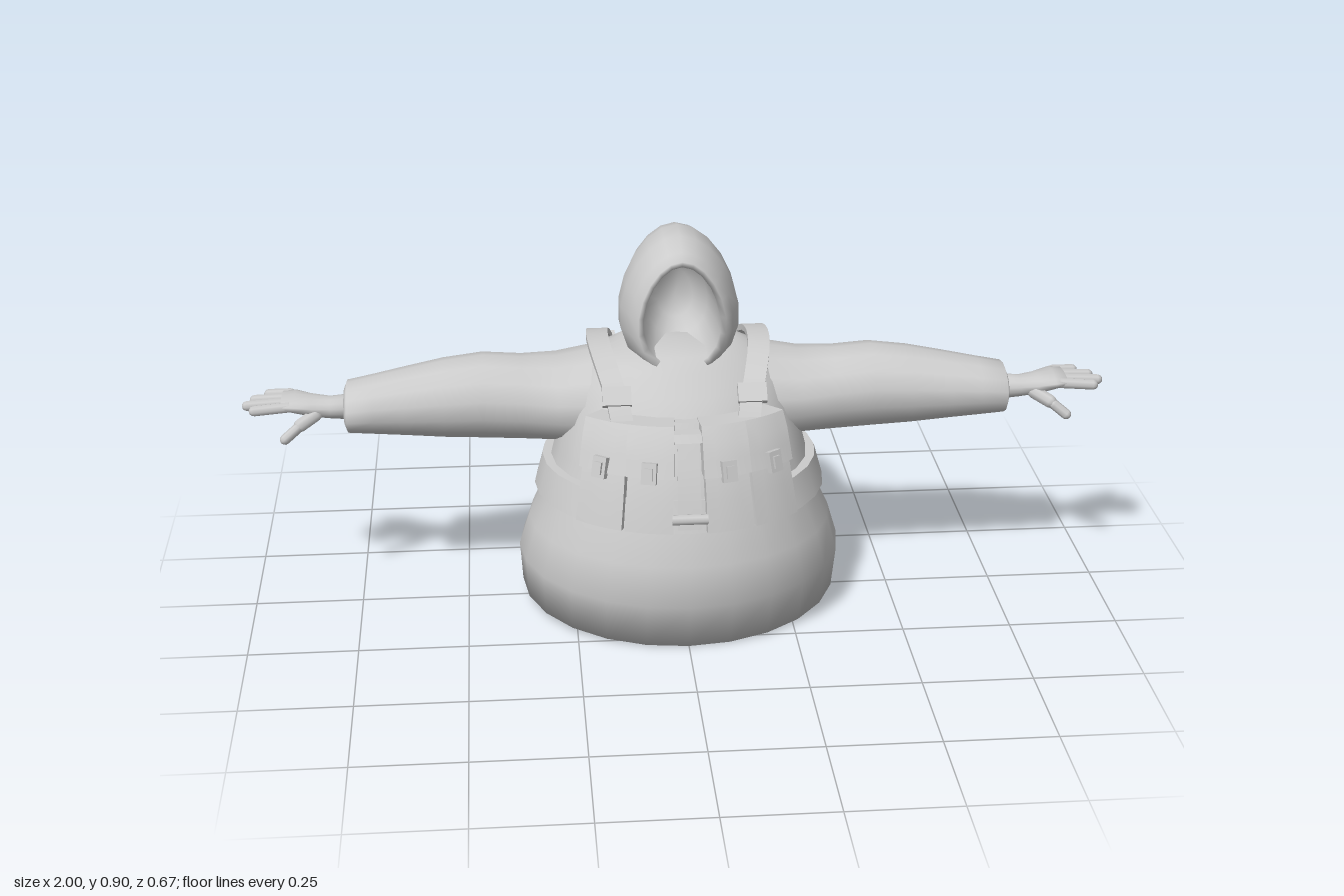
import * as THREE from 'three';
import { toCreasedNormals } from 'three/addons/utils/BufferGeometryUtils.js';

const material = new THREE.MeshStandardMaterial({ color: 0xcccccc, side: THREE.DoubleSide });
const V = (x, y, z) => new THREE.Vector3(x, y, z);

// Skin a list of equal-length point loops, capping both ends.
function loft(rings) {
  const n = rings[0].length, pos = [], idx = [];
  rings.forEach(r => r.forEach(p => pos.push(p.x, p.y, p.z)));
  for (let i = 0; i < rings.length - 1; i++)
    for (let j = 0; j < n; j++) {
      const a = i * n + j, b = i * n + (j + 1) % n;
      idx.push(a, b, b + n, a, b + n, a + n);
    }
  [0, rings.length - 1].forEach((r, end) => {
    const c = rings[r].reduce((s, p) => s.add(p), V(0, 0, 0)).divideScalar(n);
    const ci = pos.length / 3;
    pos.push(c.x, c.y, c.z);
    for (let j = 0; j < n; j++) {
      const a = r * n + j, b = r * n + (j + 1) % n;
      idx.push(ci, end ? a : b, end ? b : a);
    }
  });
  const g = new THREE.BufferGeometry();
  g.setAttribute('position', new THREE.Float32BufferAttribute(pos, 3));
  g.setIndex(idx);
  g.computeVertexNormals();
  return g;
}

// Closed loop of n points from a function of the angle.
const loop = (n, f) => Array.from({ length: n }, (_, j) => f(j / n * Math.PI * 2));

function mirrored(geo) {
  const g = geo.index ? geo.clone() : geo.clone().setIndex([...Array(geo.attributes.position.count).keys()]);
  g.scale(-1, 1, 1);
  const a = g.index.array;
  for (let i = 0; i < a.length; i += 3) [a[i], a[i + 1]] = [a[i + 1], a[i]];
  return g;
}

// Coat profile: y, half width, front z, back z, slope of the ring along z
const coat = [
  [0.035, 0.37, 0.29, -0.33, -0.109],
  [0.14, 0.376, 0.335, -0.333, -0.05],
  [0.22, 0.352, 0.325, -0.305, 0],
  [0.3, 0.315, 0.295, -0.28, 0],
  [0.4, 0.29, 0.265, -0.265, 0],
  [0.5, 0.265, 0.215, -0.245, 0],
  [0.56, 0.24, 0.165, -0.21, 0],
  [0.605, 0.2, 0.125, -0.18, 0],
  [0.635, 0.13, 0.1, -0.16, 0],
];

// Point on the coat at angle a (0 = front, turning to +x) and height y, pushed out by off
function onCoat(a, y, off = 0) {
  let i = 0;
  while (i < coat.length - 2 && coat[i + 1][0] < y) i++;
  const t = (y - coat[i][0]) / (coat[i + 1][0] - coat[i][0]);
  const [rx, zf, zb] = [1, 2, 3].map(k => THREE.MathUtils.lerp(coat[i][k], coat[i + 1][k], t));
  return V(Math.sin(a) * (rx + off), y, (zf + zb) / 2 + Math.cos(a) * ((zf - zb) / 2 + off));
}

// Curved plate lying on the coat; offTop and offBottom are its outer heights
function plate(a0, a1, y0, y1, offBottom, offTop = offBottom, steps = 4, rows = 3) {
  const rings = [];
  for (let i = 0; i <= steps; i++) {
    const a = a0 + (a1 - a0) * i / steps, outer = [], inner = [];
    for (let k = 0; k <= rows; k++) {
      const t = k / rows, y = y1 + (y0 - y1) * t;
      outer.push(onCoat(a, y, offTop + (offBottom - offTop) * t));
      inner.unshift(onCoat(a, y, -0.005));
    }
    rings.push([...outer, ...inner]);
  }
  return toCreasedNormals(loft(rings), 0.6);
}

// Rounded finger between two points
function finger(p, q, r) {
  const d = q.clone().sub(p), len = d.length();
  const g = new THREE.CapsuleGeometry(r, len - 2 * r, 3, 8);
  g.applyQuaternion(new THREE.Quaternion().setFromUnitVectors(V(0, 1, 0), d.normalize()));
  const m = p.clone().add(q).multiplyScalar(0.5);
  return g.translate(m.x, m.y, m.z);
}

// Loft along x from rows of x, centre y, half height, centre z, half depth
const alongX = rows => loft(rows.map(([x, cy, ry, cz, rz]) =>
  loop(14, t => V(x, cy + Math.cos(t) * ry, cz + Math.sin(t) * rz))));

// Flat ribbon along a path, its width along x
function ribbon(points, width, thick) {
  const curve = new THREE.CatmullRomCurve3(points), N = 18, rings = [];
  for (let i = 0; i <= N; i++) {
    const p = curve.getPoint(i / N), t = curve.getTangent(i / N);
    const up = V(1, 0, 0).cross(t).normalize().multiplyScalar(-thick / 2);
    const w = V(width / 2, 0, 0);
    rings.push([[1, 1], [-1, 1], [-1, -1], [1, -1]].map(([sx, su]) =>
      p.clone().addScaledVector(w, sx).addScaledVector(up, -su)));
  }
  return toCreasedNormals(loft(rings), 0.6);
}

// Small box standing on the coat, turned to face outwards
function stud(a, y, off, w, h, d) {
  const p = onCoat(a, y, off);
  return new THREE.BoxGeometry(w, h, d).rotateX(-0.25).rotateY(a).translate(p.x, p.y, p.z);
}

export function createModel() {
  const model = new THREE.Group();
  const add = (name, geo) => {
    const m = new THREE.Mesh(geo, material);
    m.name = name;
    model.add(m);
  };
  const pair = (name, geo) => { add(name + 'Left', geo); add(name + 'Right', mirrored(geo)); };

  // Coat body with a sloping hem
  add('coatBody', loft(coat.map(([y, rx, zf, zb, slope]) => loop(24, t => {
    const z = (zf + zb) / 2 + Math.cos(t) * (zf - zb) / 2;
    return V(Math.sin(t) * rx, y + slope * z, z);
  }))));

  // Hood: back to rim, then into the face hollow (z, half width, bottom, top)
  const hood = [
    [-0.19, 0.06, 0.68, 0.81], [-0.18, 0.085, 0.63, 0.835], [-0.125, 0.12, 0.57, 0.882],
    [-0.04, 0.135, 0.56, 0.905], [0.03, 0.134, 0.57, 0.9], [0.08, 0.115, 0.585, 0.878],
    [0.105, 0.098, 0.597, 0.864], [0.098, 0.086, 0.61, 0.85], [0.03, 0.085, 0.61, 0.85],
    [-0.06, 0.07, 0.63, 0.83], [-0.1, 0.04, 0.66, 0.78],
  ];
  add('hood', loft(hood.map(([z, rx, y0, y1]) => loop(20, t => {
    const s = Math.sin(t);
    return V(Math.cos(t) * rx * (1 - 0.16 * s), (y0 + y1) / 2 + s * (y1 - y0) / 2, z);
  }))));

  // Sleeves
  pair('sleeve', alongX([
    [0.1, 0.5, 0.12, -0.03, 0.14], [0.2, 0.497, 0.11, -0.045, 0.145], [0.28, 0.495, 0.098, -0.045, 0.13],
    [0.36, 0.5, 0.097, -0.035, 0.108], [0.45, 0.506, 0.098, -0.035, 0.107], [0.54, 0.503, 0.09, -0.034, 0.102],
    [0.63, 0.502, 0.077, -0.022, 0.09], [0.7, 0.5, 0.067, -0.014, 0.08], [0.76, 0.497, 0.058, -0.012, 0.077],
    [0.767, 0.497, 0.04, -0.012, 0.055],
  ]));

  // Hands
  pair('palm', alongX([
    [0.74, 0.497, 0.03, -0.01, 0.036], [0.8, 0.497, 0.025, -0.01, 0.031], [0.84, 0.502, 0.024, -0.013, 0.042],
    [0.88, 0.509, 0.019, -0.022, 0.055], [0.91, 0.51, 0.012, -0.026, 0.052],
  ]));
  [[-0.067, -0.083, 0.955], [-0.04, -0.05, 0.985], [-0.013, -0.015, 1], [0.014, 0.018, 0.982]].forEach(([z0, z1, x], i) =>
    pair('finger' + (i + 1), finger(V(0.88, 0.51, z0), V(x, 0.503, z1), 0.0125)));
  pair('thumbBase', finger(V(0.82, 0.495, 0.008), V(0.878, 0.468, 0.046), 0.016));
  pair('thumbTip', finger(V(0.864, 0.476, 0.042), V(0.91, 0.44, 0.058), 0.012));

  // Vest: waist band, chest panel and back panels
  add('waistBand', plate(0, Math.PI * 2, 0.3, 0.37, 0.022, 0.02, 28, 1));
  add('chestPanel', plate(-0.8, 0.8, 0.3, 0.525, 0.012, 0.02, 12));
  const back = (half, ...rest) => plate(Math.PI - half, Math.PI + half, ...rest);
  add('backPanel', back(0.78, 0.36, 0.535, 0.012, 0.012, 10));
  add('backYoke', back(0.62, 0.535, 0.595, 0.012, 0.012, 8));
  add('backStrip', back(0.5, 0.47, 0.51, 0.03, 0.03, 8, 1));
  add('collarStrip', back(0.5, 0.565, 0.59, 0.03, 0.03, 8, 1));
  add('backPocket', back(0.55, 0.3, 0.445, 0.035, 0.03, 8));

  // Front pouches with flaps and buckles
  [[0.11, 0.43], [0.45, 0.8]].forEach(([a0, a1], i) => {
    const name = i ? 'outer' : 'inner', mid = (a0 + a1) / 2;
    pair(name + 'Pouch', plate(a0, a1, 0.305, 0.52, 0.036, 0.045));
    pair(name + 'Flap', plate(a0 - 0.01, a1 + 0.01, 0.425, 0.528, 0.048, 0.053));
    pair(name + 'Buckle', stud(mid, 0.437, 0.052, 0.034, 0.048, 0.014));
    pair(name + 'BuckleTab', stud(mid, 0.437, 0.058, 0.018, 0.028, 0.014));
  });

  // Centre closure
  add('centrePlacket', plate(-0.08, 0.08, 0.31, 0.505, 0.026, 0.03, 2));
  add('centreStrip', plate(-0.12, 0.12, 0.495, 0.512, 0.045, 0.045, 4, 1));
  add('centreToggle', new THREE.CylinderGeometry(0.012, 0.012, 0.08, 8).rotateZ(Math.PI / 2).translate(0, 0.335, 0.316));

  // Shoulder straps with front and back buckles
  pair('shoulderStrap', ribbon([
    V(0.14, 0.51, 0.205), V(0.15, 0.56, 0.168), V(0.165, 0.6, 0.115), V(0.18, 0.632, 0.04), V(0.185, 0.638, -0.04),
    V(0.18, 0.622, -0.12), V(0.165, 0.57, -0.2), V(0.155, 0.5, -0.236), V(0.155, 0.43, -0.25),
  ], 0.05, 0.014));
  pair('strapBuckle', new THREE.BoxGeometry(0.065, 0.045, 0.014).rotateX(-0.75).translate(0.152, 0.572, 0.165));
  pair('backBuckle', new THREE.BoxGeometry(0.06, 0.05, 0.02).rotateX(0.6).translate(0.165, 0.56, -0.222));
  return model;
}
